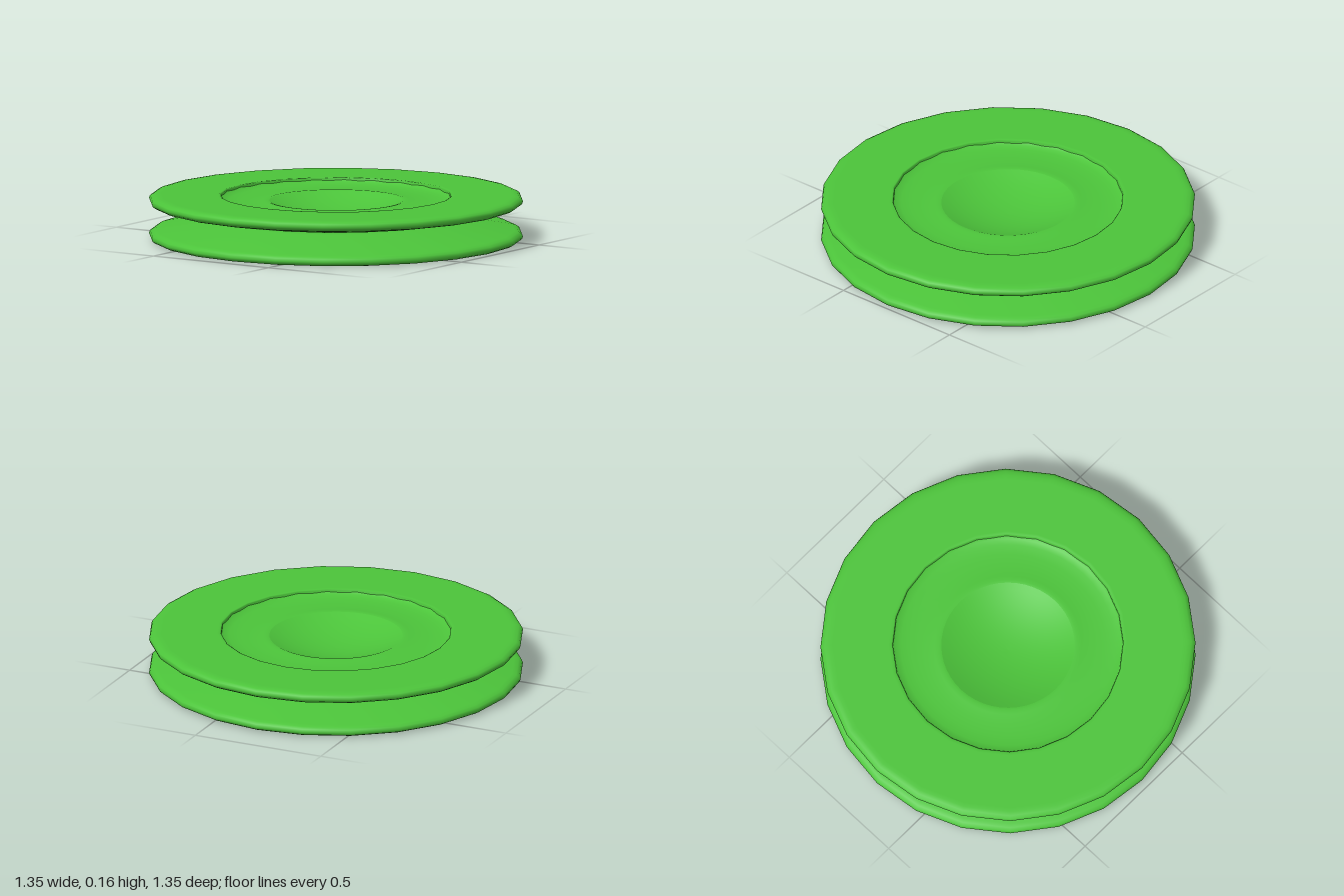
import * as THREE from 'three';

const green = new THREE.MeshStandardMaterial({ color: 0x4cc43a });
green.name = 'green plastic';

// Turns [radius, height] pairs, listed from the bottom outward, up and back in.
function turned(name, profile, segments) {
  const points = profile.map(([r, y]) => new THREE.Vector2(r, y));
  const mesh = new THREE.Mesh(new THREE.LatheGeometry(points, segments), green);
  mesh.name = name;
  return mesh;
}

// One half: heights are measured from the middle of the gap.
function makeHalf(name) {
  const half = new THREE.Group();
  half.name = name;

  // Outer disc: flat inner face, flared slope, rounded rim, flat outer face
  half.add(turned('disc', [
    [0, 0.0025], [0.39, 0.0025], [0.41, 0.004], [0.52, 0.021], [0.645, 0.043],
    [0.66, 0.047], [0.671, 0.054], [0.675, 0.064], [0.671, 0.073], [0.66, 0.079],
    [0.645, 0.0815], [0.63, 0.0818], [0.43, 0.0818], [0.42, 0.0815], [0.415, 0.079], [0.412, 0.05],
  ], 24));

  // Hub face: recessed ring rising slightly to the lip of the bowl
  half.add(turned('hubRing', [
    [0.415, 0.074], [0.405, 0.066], [0.385, 0.061], [0.35, 0.058],
    [0.30, 0.058], [0.265, 0.061], [0.25, 0.0625], [0.24, 0.061],
  ], 48));

  // Central bowl, part of a sphere
  const bowl = [];
  const rim = 0.24, depth = 0.05;
  const R = (rim * rim + depth * depth) / (2 * depth);
  for (let i = 0; i <= 10; i++) {
    const r = rim * (1 - i / 10);
    bowl.push([r, 0.061 - depth + R - Math.sqrt(R * R - r * r)]);
  }
  half.add(turned('bowl', bowl, 48));
  return half;
}

export function createModel() {
  const model = new THREE.Group();
  model.name = 'spinningToy';

  const upper = makeHalf('upperHalf');
  const lower = makeHalf('lowerHalf');
  lower.rotation.x = Math.PI;

  const body = new THREE.Group();
  body.name = 'body';
  body.add(upper, lower);
  body.position.set(0.32, 0.123, 0.30);
  model.add(body);
  return model;
}
